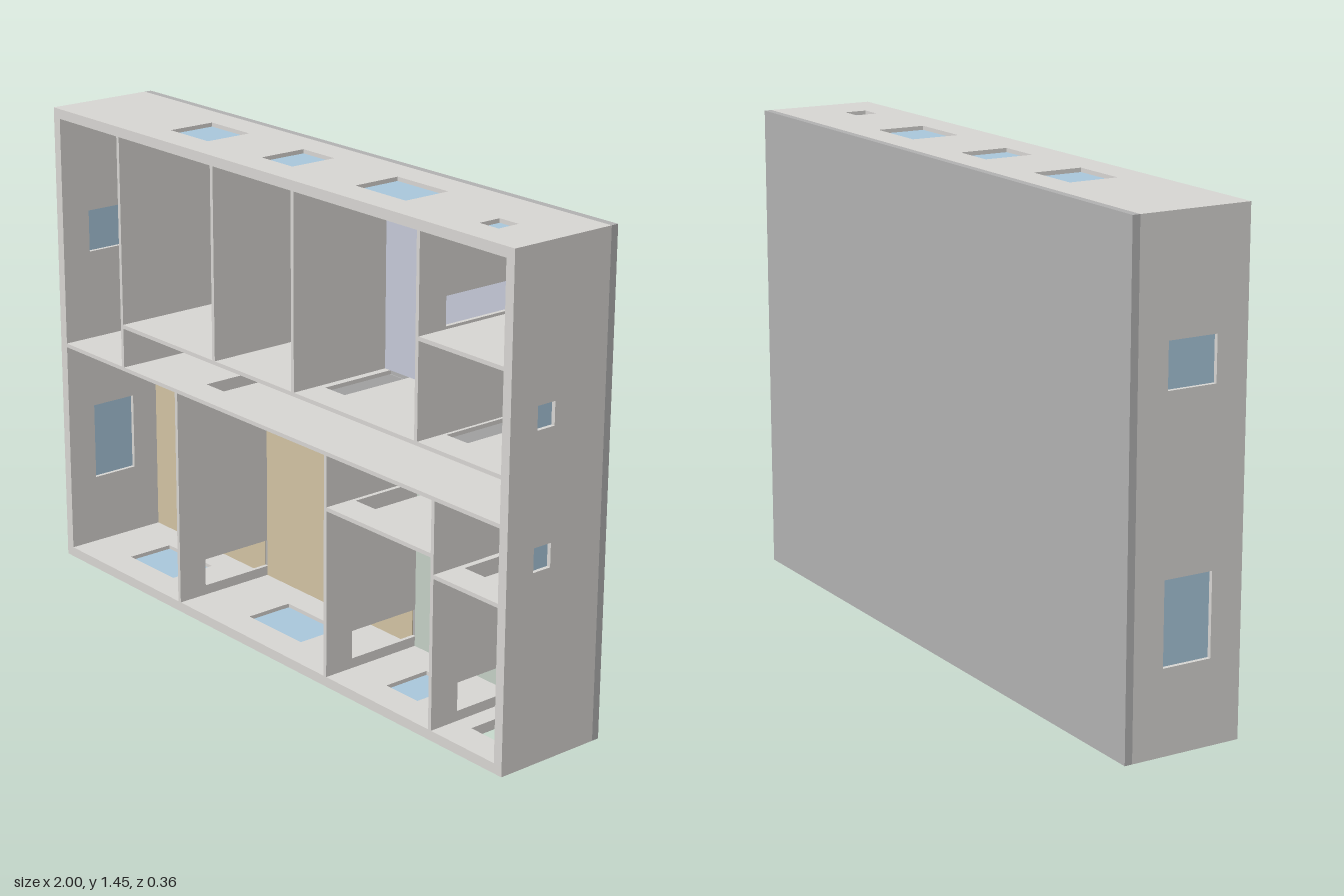
import * as THREE from 'three';

const BACK = -0.18, FLOOR = -0.157, FRONT = 0.18, HEAD = 0.085, SILL = -0.065;
const T = 0.012, OUT = 0.03, H = 1.445;

const mat = (color) => new THREE.MeshStandardMaterial({ color });
const wallMat = mat(0xd6d4d1), slabMat = mat(0xb0b0b0), glassMat = mat(0xa8c6da);
const tan = mat(0xd0c1a2), blue = mat(0xc3c7d6), green = mat(0xc2cec4), grey = mat(0xb0b0b0);

export function createModel() {
  const model = new THREE.Group();

  const box = (name, material, x0, x1, y0, y1, z0, z1) => {
    const mesh = new THREE.Mesh(new THREE.BoxGeometry(x1 - x0, y1 - y0, z1 - z0), material);
    mesh.position.set((x0 + x1) / 2, (y0 + y1) / 2, (z0 + z1) / 2);
    mesh.name = name;
    model.add(mesh);
  };

  // Wall running along x or y: door gaps [from, to] notch its floor edge,
  // windows [from, to, sill] are holes with a pane in the middle.
  const wall = (name, axis, at, thick, from, to, doors = [], windows = []) => {
    const shape = new THREE.Shape();
    shape.moveTo(from, FLOOR);
    for (const [a, b] of doors) {
      shape.lineTo(a, FLOOR);
      shape.lineTo(a, HEAD);
      shape.lineTo(b, HEAD);
      shape.lineTo(b, FLOOR);
    }
    shape.lineTo(to, FLOOR);
    shape.lineTo(to, FRONT);
    shape.lineTo(from, FRONT);
    shape.closePath();
    const mid = at + thick / 2, g = 0.003;
    for (const [a, b, sill = SILL] of windows) {
      const hole = new THREE.Path();
      hole.moveTo(a, sill);
      hole.lineTo(a, HEAD);
      hole.lineTo(b, HEAD);
      hole.lineTo(b, sill);
      hole.closePath();
      shape.holes.push(hole);
      if (axis === 'x') box('windowPane', glassMat, a, b, mid - g, mid + g, sill, HEAD);
      else box('windowPane', glassMat, mid - g, mid + g, a, b, sill, HEAD);
    }
    const geo = new THREE.ExtrudeGeometry(shape, { depth: thick, bevelEnabled: false });
    const X = new THREE.Vector3(1, 0, 0), Y = new THREE.Vector3(0, 1, 0), Z = new THREE.Vector3(0, 0, 1);
    const m = new THREE.Matrix4();
    if (axis === 'x') m.makeBasis(X, Z, Y.negate()).setPosition(0, at + thick, 0);
    else m.makeBasis(Y, Z, X).setPosition(at, 0, 0);
    geo.applyMatrix4(m);
    const mesh = new THREE.Mesh(geo, wallMat);
    mesh.name = name;
    model.add(mesh);
  };

  // Base slab
  box('baseSlab', slabMat, -1, 1, 0, H, BACK, FLOOR);

  // Room floors: x0, x1, y0, y1
  const rooms = [
    ['studyFloor', tan, -0.97, -0.68, 0.708, 1.415],
    ['firstBedroomFloor', blue, -0.668, -0.232, 0.842, 1.415],
    ['secondBedroomFloor', blue, -0.22, 0.126, 0.842, 1.415],
    ['thirdBedroomFloor', blue, 0.138, 0.638, 0.842, 1.415],
    ['ensuiteFloor', blue, 0.65, 0.97, 1.132, 1.415],
    ['bathroomFloor', blue, 0.65, 0.97, 0.842, 1.12],
    ['corridorFloor', grey, -0.668, 0.97, 0.708, 0.83],
    ['diningFloor', tan, -0.97, -0.416, 0.03, 0.696],
    ['livingFloor', tan, -0.404, 0.268, 0.03, 0.696],
    ['pantryFloor', green, 0.28, 0.71, 0.545, 0.696],
    ['kitchenFloor', green, 0.28, 0.71, 0.03, 0.533],
    ['laundryFloor', green, 0.722, 0.97, 0.487, 0.696],
    ['entryFloor', tan, 0.722, 0.97, 0.03, 0.475],
  ];
  for (const [name, m, x0, x1, y0, y1] of rooms) box(name, m, x0, x1, y0, y1, FLOOR, FLOOR + 0.003);

  // Outer walls
  wall('bottomOuterWall', 'x', 0, OUT, -1, 1, [[0.78, 0.89]],
    [[-0.79, -0.57], [-0.19, 0.05], [0.43, 0.56]]);
  wall('topOuterWall', 'x', H - OUT, OUT, -1, 1, [],
    [[-0.54, -0.364], [-0.118, 0.017], [0.284, 0.487], [0.77, 0.84, 0.015]]);
  wall('rightOuterWall', 'y', -1, OUT, OUT, H - OUT, [], [[0.245, 0.485], [0.985, 1.115]]);
  wall('leftOuterWall', 'y', 1 - OUT, OUT, OUT, H - OUT, [],
    [[0.557, 0.626, 0.024], [0.948, 1.015, 0.024]]);

  // Inner walls along x
  wall('middleWall', 'x', 0.696, T, -0.97, 0.97, [[-0.795, -0.71], [-0.386, -0.303]]);
  wall('corridorWall', 'x', 0.83, T, -0.668, 0.97,
    [[-0.34, -0.257], [0.01, 0.095], [0.16, 0.243], [0.66, 0.743]]);
  wall('bathroomWall', 'x', 1.12, T, 0.65, 0.97);
  wall('pantryWall', 'x', 0.533, T, 0.28, 0.71, [[0.293, 0.376]]);
  wall('laundryWall', 'x', 0.475, T, 0.722, 0.97, [[0.74, 0.82]]);

  // Inner walls along y
  wall('studyWall', 'y', -0.68, T, 0.708, 1.415);
  wall('firstBedroomWall', 'y', -0.232, T, 0.842, 1.415);
  wall('secondBedroomWall', 'y', 0.126, T, 0.842, 1.415);
  wall('ensuiteWall', 'y', 0.638, T, 0.842, 1.415, [[1.14, 1.223]]);
  for (const [name, x] of [['diningWall', -0.416], ['kitchenWall', 0.268], ['entryWall', 0.71]])
    wall(name, 'y', x, T, 0.03, 0.696, [[0.06, 0.145]]);

  return model;
}
